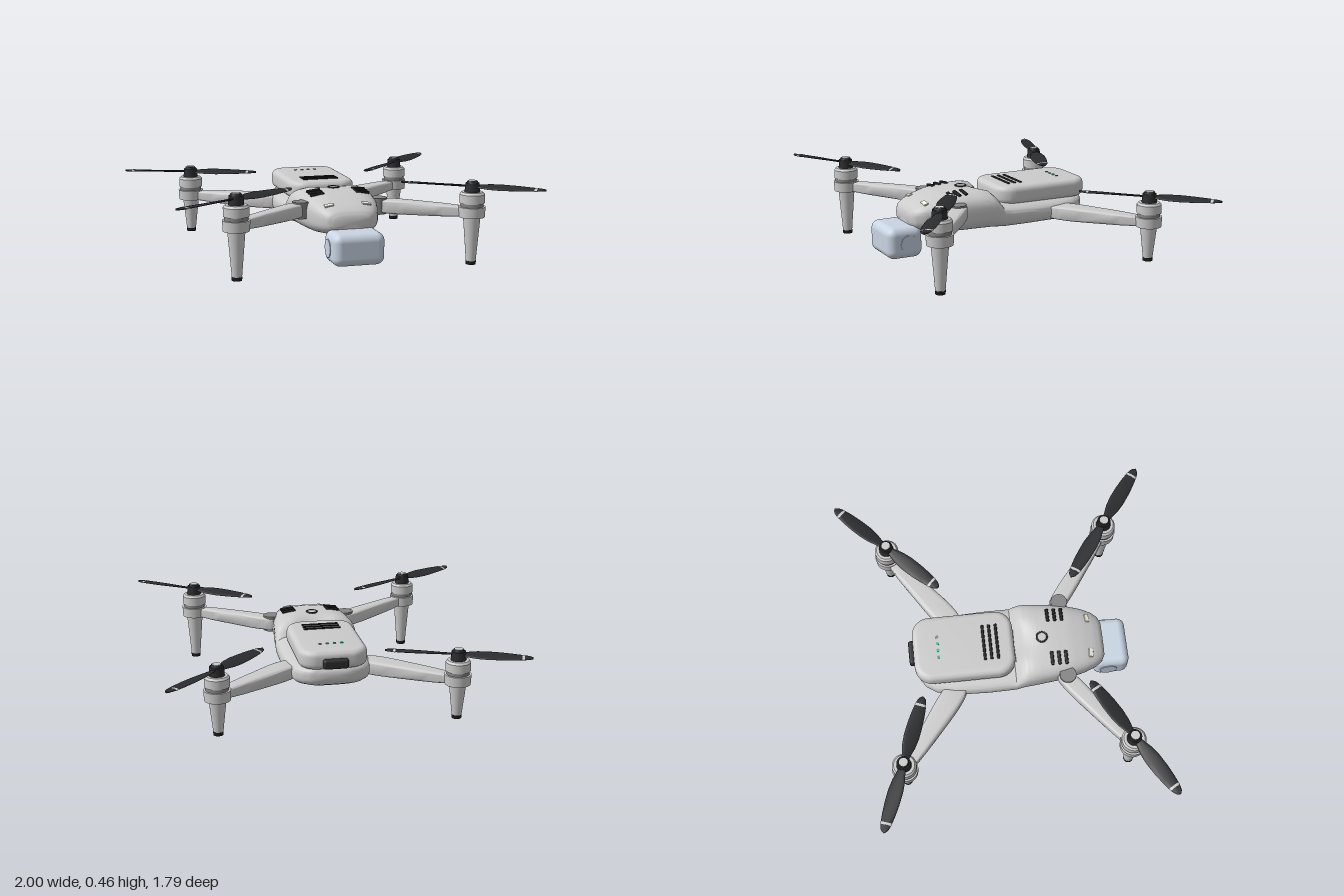
import * as THREE from 'three';
import { toCreasedNormals } from 'three/addons/utils/BufferGeometryUtils.js';
import { RoundedBoxGeometry } from 'three/addons/geometries/RoundedBoxGeometry.js';

const paint = (color) => new THREE.MeshStandardMaterial({ color });
const GREY = paint(0xcccccc), MID = paint(0x858585), DARK = paint(0x2b2c2e), BLACK = paint(0x1b1b1c);
const LENS = paint(0xc9d5e4), GREEN = paint(0x35c98a), LAMP = paint(0xf2eee2);

function add(parent, name, geometry, material, x = 0, y = 0, z = 0) {
  const mesh = new THREE.Mesh(geometry, material);
  mesh.name = name;
  mesh.position.set(x, y, z);
  parent.add(mesh);
  return mesh;
}

// Skin over counter-clockwise rings that advance along +z, with flat end caps
function loft(rings, crease = 0.6) {
  const n = rings[0].length, pos = [], idx = [];
  rings.forEach((r) => r.forEach((p) => pos.push(...p)));
  for (let i = 0; i < rings.length - 1; i++) for (let j = 0; j < n; j++) {
    const a = i * n + j, b = i * n + (j + 1) % n;
    idx.push(a, b, b + n, a, b + n, a + n);
  }
  [0, rings.length - 1].forEach((i) => {
    const c = pos.length / 3, sum = [0, 0, 0];
    rings[i].forEach((p) => p.forEach((v, k) => { sum[k] += v / n; }));
    pos.push(...sum);
    for (let j = 0; j < n; j++) {
      const a = i * n + j, b = i * n + (j + 1) % n;
      if (i) idx.push(c, a, b); else idx.push(c, b, a);
    }
  });
  const g = new THREE.BufferGeometry();
  g.setAttribute('position', new THREE.Float32BufferAttribute(pos, 3));
  g.setIndex(idx);
  return toCreasedNormals(g, crease);
}

// Hull stations: z, half width, bottom, top
const HULL = [
  [-0.5, 0.08, 0.215, 0.265], [-0.485, 0.135, 0.19, 0.285], [-0.455, 0.175, 0.175, 0.29],
  [-0.4, 0.21, 0.162, 0.292], [-0.3, 0.234, 0.156, 0.292], [-0.1, 0.242, 0.155, 0.295],
  [0.055, 0.24, 0.155, 0.3], [0.085, 0.238, 0.155, 0.345], [0.115, 0.237, 0.155, 0.372],
  [0.16, 0.234, 0.155, 0.381], [0.28, 0.22, 0.155, 0.38], [0.38, 0.204, 0.158, 0.37],
  [0.46, 0.183, 0.168, 0.35], [0.52, 0.158, 0.18, 0.328], [0.555, 0.132, 0.192, 0.308],
  [0.572, 0.1, 0.21, 0.285],
];
const POWER = 3.2;
function station(z) {
  let i = 0;
  while (i < HULL.length - 2 && z > HULL[i + 1][0]) i++;
  const t = (z - HULL[i][0]) / (HULL[i + 1][0] - HULL[i][0]);
  return HULL[i].map((v, k) => v + (HULL[i + 1][k] - v) * t);
}
// Height of the hull's upper skin
function deck(x, z) {
  const [, w, lo, hi] = station(z);
  return (lo + hi) / 2 + (hi - lo) / 2 * Math.pow(1 - Math.pow(Math.abs(x) / w, POWER), 1 / POWER);
}

function hullGeometry() {
  const rings = [], N = 64, e = 2 / POWER;
  const ring = (z) => {
    const [, w, lo, hi] = station(z);
    // V-shaped hollow in front of the battery
    const reach = z > 0.06 ? THREE.MathUtils.clamp((0.19 - z) / 0.1, 0, 1) : 0;
    return Array.from({ length: N }, (_, j) => {
      const a = j / N * Math.PI * 2, c = Math.cos(a), s = Math.sin(a);
      const x = w * Math.sign(c) * Math.pow(Math.abs(c), e);
      let y = (lo + hi) / 2 + (hi - lo) / 2 * Math.sign(s) * Math.pow(Math.abs(s), e);
      if (s > 0) y -= 0.05 * reach * Math.max(0, 1 - Math.abs(x) / 0.12);
      return [x, y, z];
    });
  };
  for (let i = 0; i < HULL.length - 1; i++) for (let k = 0; k < 3; k++)
    rings.push(ring(HULL[i][0] + (HULL[i + 1][0] - HULL[i][0]) * k / 3));
  rings.push(ring(HULL[HULL.length - 1][0]));
  return loft(rings, 0.7);
}

// Rounded slab: outline in plan, bevelled top and bottom, base at y = 0
function slab(w, d, h, r, bevel) {
  const x = w / 2 - bevel, y = d / 2 - bevel, s = new THREE.Shape();
  r -= bevel;
  s.absarc(x - r, y - r, r, 0, Math.PI / 2);
  s.absarc(r - x, y - r, r, Math.PI / 2, Math.PI);
  s.absarc(r - x, r - y, r, Math.PI, Math.PI * 1.5);
  s.absarc(x - r, r - y, r, Math.PI * 1.5, Math.PI * 2);
  const g = new THREE.ExtrudeGeometry(s, { depth: h - 2 * bevel, bevelSize: bevel, bevelThickness: bevel, bevelSegments: 5, curveSegments: 10 });
  return toCreasedNormals(g.translate(0, 0, bevel).rotateX(-Math.PI / 2), 0.6);
}

// Tapered arm along +x, from thick root to slim end
function armGeometry(length, root, end, h0, h1) {
  const g = new RoundedBoxGeometry(length, 1, 1, 4, 0.2).translate(length / 2, 0, 0);
  const p = g.attributes.position;
  for (let i = 0; i < p.count; i++) {
    const t = THREE.MathUtils.clamp(p.getX(i) / length, 0, 1);
    p.setY(i, p.getY(i) * (h0 + (h1 - h0) * t));
    p.setZ(i, p.getZ(i) * (root + (end - root) * t));
  }
  g.deleteAttribute('normal');
  return toCreasedNormals(g, 0.7);
}

// Blade stations: radius, chord
const BLADE = [[0.015, 0.035], [0.05, 0.05], [0.1, 0.076], [0.16, 0.088], [0.23, 0.086], [0.29, 0.077],
  [0.34, 0.064], [0.362, 0.055], [0.382, 0.04], [0.392, 0.022], [0.397, 0.006]];
function bladeGeometry(stations, thick) {
  return loft(stations.map(([r, c]) => Array.from({ length: 16 }, (_, j) => {
    const a = j / 16 * Math.PI * 2, tw = 0.3 - r * 0.6;
    const u = c / 2 * Math.cos(a), v = thick / 2 * Math.sin(a);
    return [u * Math.cos(tw) - v * Math.sin(tw), u * Math.sin(tw) + v * Math.cos(tw), r];
  })), 0.9);
}

function rotorUnit(name, base, dx, dz) {
  const g = new THREE.Group();
  g.name = name;
  const can = (part, r0, r1, y0, y1, mat) =>
    add(g, part, new THREE.CylinderGeometry(r1, r0, y1 - y0, 40), mat, 0, (y0 + y1) / 2, 0);
  can('foot', 0.027, 0.028, 0, 0.02, BLACK);
  can('leg', 0.027, 0.047, 0.02, base, GREY);
  can('motorBase', 0.07, 0.073, base, base + 0.057, GREY);
  can('motorGap', 0.062, 0.062, base + 0.057, base + 0.077, MID);
  can('motorBell', 0.068, 0.068, base + 0.077, base + 0.125, GREY);
  can('motorShoulder', 0.068, 0.058, base + 0.125, base + 0.137, GREY);
  can('hub', 0.042, 0.038, base + 0.137, base + 0.185, DARK);
  can('hubTop', 0.032, 0.028, base + 0.185, base + 0.196, DARK);
  can('hubCap', 0.024, 0.024, base + 0.196, base + 0.199, GREY);
  const rotor = new THREE.Group();
  rotor.name = 'propeller';
  rotor.position.y = base + 0.168;
  rotor.rotation.y = Math.atan2(dx, dz);
  for (const turn of [0, Math.PI]) {
    add(rotor, 'blade', bladeGeometry(BLADE, 0.011), DARK).rotation.y = turn;
    add(rotor, 'bladeStripe', bladeGeometry([[0.338, 0.066], [0.352, 0.06]], 0.014), GREY).rotation.y = turn;
  }
  g.add(rotor);
  return g;
}

export function createModel() {
  const model = new THREE.Group();
  model.name = 'drone';
  const body = new THREE.Group();
  body.name = 'body';
  body.position.x = 0.02;
  model.add(body);
  add(body, 'hull', hullGeometry(), GREY);

  // Battery with vents, charge lights and rear latch
  add(body, 'battery', slab(0.38, 0.57, 0.104, 0.1, 0.032), GREY, 0, 0.28, -0.225);
  for (const z of [-0.11, -0.073, -0.035])
    add(body, 'batteryVent', new RoundedBoxGeometry(0.21, 0.01, 0.016, 3, 0.005), BLACK, 0, 0.385, z);
  [-0.06, -0.02, 0.02, 0.06].forEach((x, i) =>
    add(body, 'chargeLight', new THREE.CylinderGeometry(0.009, 0.009, 0.006, 16), i < 3 ? GREEN : MID, x, 0.384, -0.37));
  add(body, 'rearLatch', new RoundedBoxGeometry(0.14, 0.055, 0.06, 4, 0.015), DARK, 0, 0.318, -0.507);

  // Power button
  const top = deck(0, 0.22);
  add(body, 'buttonRing', new THREE.TorusGeometry(0.029, 0.005, 10, 40).rotateX(Math.PI / 2), DARK, 0, top + 0.001, 0.22);
  add(body, 'button', new THREE.CylinderGeometry(0.026, 0.026, 0.006, 32), GREY, 0, top, 0.22);

  // Camera on its bracket
  add(body, 'cameraBracket', new RoundedBoxGeometry(0.16, 0.045, 0.16, 4, 0.015), MID, 0, 0.185, 0.515);
  add(body, 'camera', new RoundedBoxGeometry(0.286, 0.175, 0.205, 6, 0.045), LENS, 0, 0.128, 0.617);

  for (const s of [1, -1]) {
    add(body, 'cameraPivot', new THREE.CylinderGeometry(0.05, 0.05, 0.008, 32).rotateZ(Math.PI / 2), LENS, s * 0.143, 0.125, 0.6);
    for (const z of [0.265, 0.305, 0.345])
      add(body, 'deckVent', new RoundedBoxGeometry(0.08, 0.014, 0.019, 3, 0.006), BLACK, s * 0.13, deck(0.13, z) + 0.003, z).rotation.z = -s * 0.12;
    const lamp = add(body, 'frontLamp', new RoundedBoxGeometry(0.05, 0.012, 0.026, 3, 0.004), LAMP, s * 0.105, deck(0.105, 0.49), 0.49);
    lamp.rotation.set(0.3, 0, -s * 0.15);

    // Folding arms, front pair above the rear pair: pivot, then motor position
    const arms = [
      { n: 'front', x: 0.2, z: 0.315, mz: 0.655, y: 0.289, root: 0.105, end: 0.062, h0: 0.085, h1: 0.058, base: 0.262 },
      { n: 'rear', x: 0.19, z: -0.27, mz: -0.615, y: 0.222, root: 0.15, end: 0.066, h0: 0.09, h1: 0.056, base: 0.197 },
    ];
    for (const a of arms) {
      const dx = 0.65 - a.x, dz = a.mz - a.z;
      const arm = add(body, a.n + 'Arm', armGeometry(Math.hypot(dx, dz), a.root, a.end, a.h0, a.h1), GREY, s * a.x, a.y, a.z);
      arm.rotation.y = Math.atan2(-dz, s * dx);
      const spin = a.n === 'front' ? (s > 0 ? [60, 43] : [-64, 37]) : (s > 0 ? [52, -52] : [-70, -26]);
      const unit = rotorUnit(a.n + 'Rotor', a.base, ...spin);
      unit.position.set(s * 0.65, 0, a.mz);
      body.add(unit);
    }
    add(body, 'frontHinge', new THREE.CylinderGeometry(0.047, 0.047, 0.09, 32), MID, s * 0.222, 0.29, 0.345);
  }
  return model;
}
